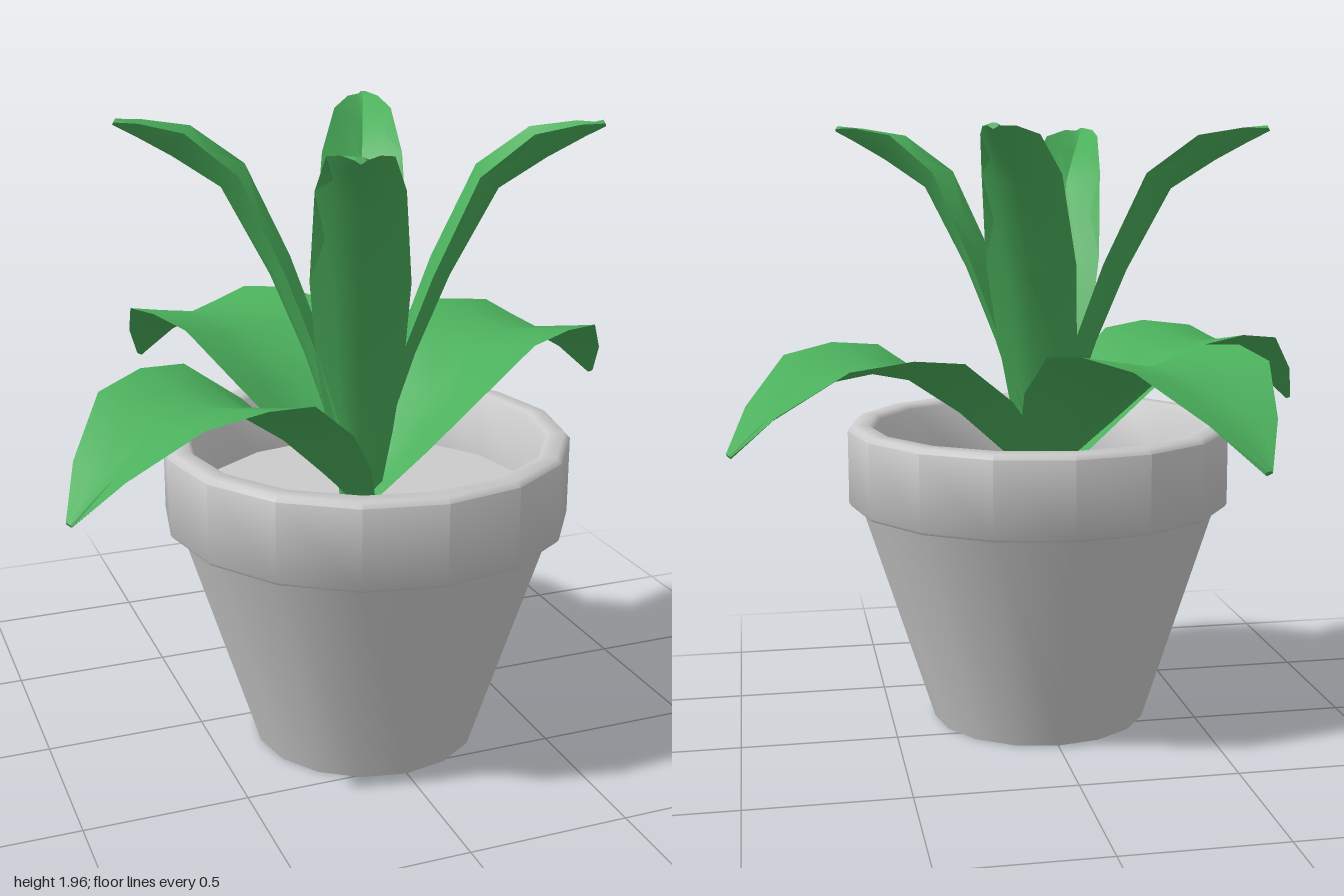
import * as THREE from 'three';
import { toCreasedNormals } from 'three/addons/utils/BufferGeometryUtils.js';

const grey = new THREE.MeshStandardMaterial({ color: 0xcccccc, side: THREE.DoubleSide });
const green = new THREE.MeshStandardMaterial({ color: 0x4bb05c, side: THREE.DoubleSide });

// Leaf stations: [distance outward, height, half width, lift of the edges above the midrib]
const ARCHING = [
  [0.02, 0.78, 0.07, 0.03], [0.16, 0.91, 0.17, 0.06], [0.32, 1.05, 0.25, 0.08], [0.5, 1.17, 0.29, 0.09],
  [0.63, 1.2, 0.285, 0.07], [0.79, 1.18, 0.24, 0.07], [0.97, 1.08, 0.12, 0.04], [1.09, 0.98, 0.015, 0.01],
];
const UPRIGHT = [
  [0.02, 0.78, 0.06, 0.03], [0.09, 1.02, 0.1, 0.04], [0.17, 1.26, 0.13, 0.05], [0.27, 1.5, 0.145, 0.06],
  [0.41, 1.76, 0.125, 0.08], [0.55, 1.85, 0.09, 0.09], [0.66, 1.91, 0.05, 0.045], [0.72, 1.94, 0.015, 0.01],
];

// Thin V-shaped blade lofted through its stations
function leafGeometry(stations, thickness) {
  const across = [-1, -0.5, 0, 0.5, 1];
  const loop = [...across.map(u => [u, 0]), ...across.slice(1, 4).reverse().map(u => [u, 1])];
  const n = loop.length, pos = [], index = [];
  stations.forEach(([r, y, half, lift], i) => {
    const a = stations[Math.max(i - 1, 0)], b = stations[Math.min(i + 1, stations.length - 1)];
    const len = Math.hypot(b[0] - a[0], b[1] - a[1]);
    const nr = -(b[1] - a[1]) / len, ny = (b[0] - a[0]) / len;
    for (const [u, top] of loop) {
      const h = lift * Math.pow(Math.abs(u), 1.3) + top * thickness * (1 - 0.5 * Math.abs(u));
      pos.push(r + nr * h, y + ny * h, -u * half);
    }
    if (i === 0) return;
    for (let j = 0; j < n; j++) {
      const k = (j + 1) % n, p = (i - 1) * n, q = i * n;
      index.push(p + j, p + k, q + j, p + k, q + k, q + j);
    }
  });
  // close the two ends
  const last = (stations.length - 1) * n;
  for (let j = 1; j < n - 1; j++) index.push(0, j + 1, j, last, last + j, last + j + 1);
  const g = new THREE.BufferGeometry();
  g.setAttribute('position', new THREE.Float32BufferAttribute(pos, 3));
  g.setIndex(index);
  return toCreasedNormals(g, 0.8);
}

function lathe(points, name) {
  const g = new THREE.LatheGeometry(points.map(([r, y]) => new THREE.Vector2(r, y)), 16);
  const mesh = new THREE.Mesh(toCreasedNormals(g, 0.85), grey);
  mesh.name = name;
  return mesh;
}

export function createModel() {
  const model = new THREE.Group();
  model.name = 'pottedPlant';

  // Pot: open tapered wall, overhanging rim, soil inside
  const pot = new THREE.Group();
  pot.name = 'pot';
  pot.position.z = 0.185;
  pot.add(lathe([[0.355, 0], [0.59, 0.74]], 'potWall'));
  pot.add(lathe([[0.585, 0.735], [0.62, 0.735], [0.628, 0.745], [0.628, 0.985], [0.612, 1.0],
    [0.56, 1.0], [0.545, 0.985], [0.52, 0.8]], 'potRim'));
  pot.add(lathe([[0.52, 0.8], [0, 0.8]], 'soil'));
  model.add(pot);

  // Leaves radiate from one point: [end x, end z, length scale, height offset]
  const addLeaves = (geometry, name, list) => list.forEach(([x, z, scale, lift]) => {
    const leaf = new THREE.Mesh(geometry, green);
    leaf.name = name;
    leaf.position.set(-0.025, lift, 0.2);
    leaf.rotation.y = -Math.atan2(z - 0.2, x + 0.025);
    leaf.scale.set(scale, 1, 1);
    model.add(leaf);
  });
  addLeaves(leafGeometry(ARCHING, 0.02), 'archingLeaf', [
    [-0.44, -0.88, 1.06, 0.03], [1.0, -0.21, 1.01, 0], [-1.0, 0.6, 0.97, 0],
  ]);
  addLeaves(leafGeometry(UPRIGHT, 0.02), 'uprightLeaf', [
    [-0.69, 0.08 - 0.14, 1, 0], [0.25, -0.48, 1, 0], [0.63, 0.47, 0.98, 0], [-0.29, 0.87, 1, 0],
  ]);
  return model;
}
